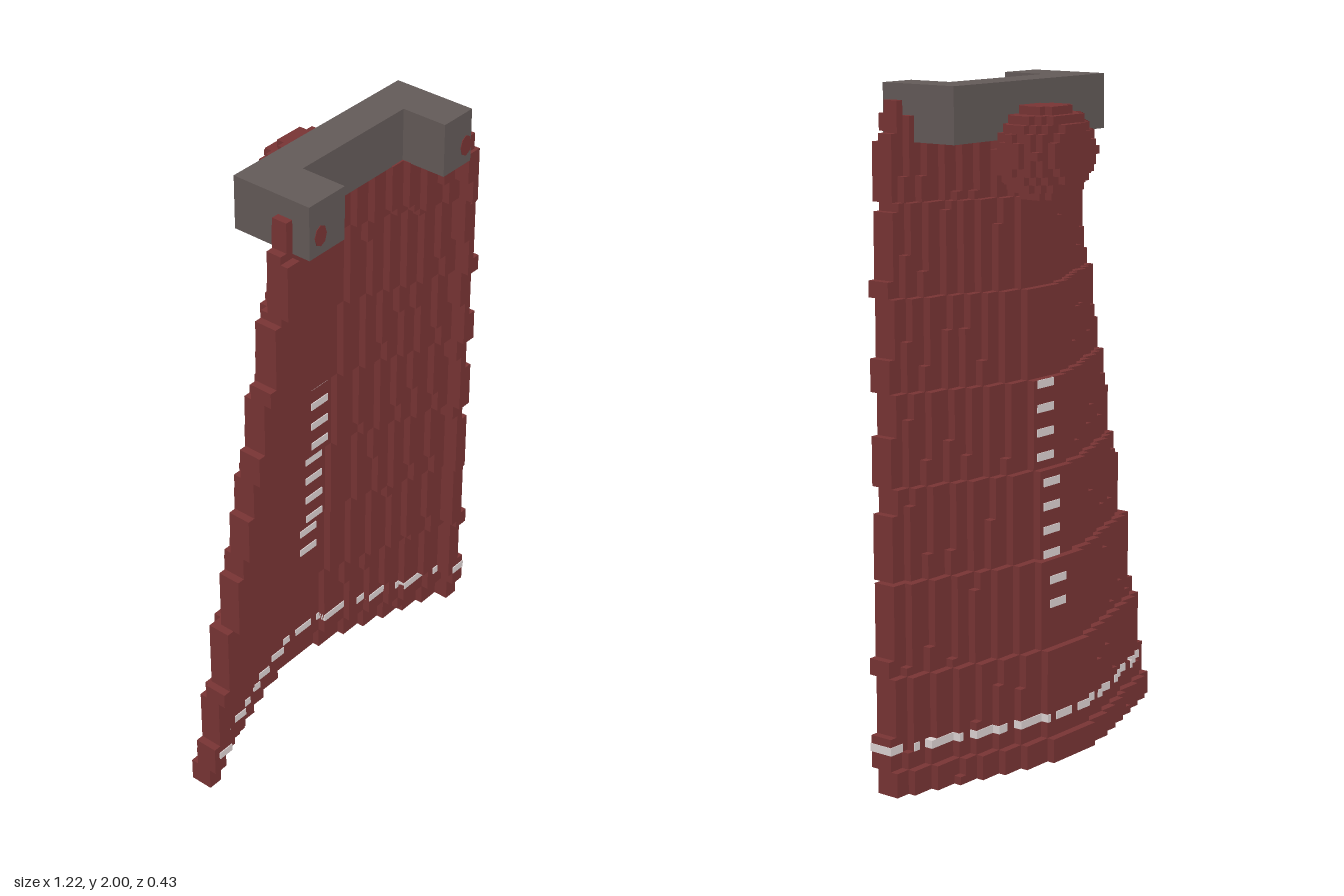
import * as THREE from 'three';
import { mergeGeometries } from 'three/addons/utils/BufferGeometryUtils.js';

const V = 0.0242; // size of one block
const clothMat = new THREE.MeshStandardMaterial({ color: 0x783434 });
clothMat.name = 'dark red cloth';
const collarMat = new THREE.MeshStandardMaterial({ color: 0x635a58 });
collarMat.name = 'grey collar';
const trimMat = new THREE.MeshStandardMaterial({ color: 0xdcd2d2 });
trimMat.name = 'pale trim';

// box from its two extreme corners
function span(x0, x1, y0, y1, z0, z1) {
  return new THREE.BoxGeometry(x1 - x0, y1 - y0, z1 - z0)
    .translate((x0 + x1) / 2, (y0 + y1) / 2, (z0 + z1) / 2);
}

function part(name, boxes, material) {
  const mesh = new THREE.Mesh(mergeGeometries(boxes), material);
  mesh.name = name;
  return mesh;
}

// Fractions of the half width at which the curved cloth steps forward
const STEPS = [0, 0.156, 0.31, 0.435, 0.55, 0.655, 0.79, 0.91, 1];
const THICK = 2 * V;
const BODY_ROWS = 76; // rows below the collar
const halfWidth = (row) => 0.612 - 0.115 * row * V;
const stepX = (row, j) => (j ? Math.round(STEPS[j] * halfWidth(row) / V) * V + 0.005 : 0);
// the cloth leans forward one block every eleven rows
const backZ = (row, j) => -0.215 + V * (Math.min(7, Math.floor((row + 8) / 11)) + j);
// the side hems are one block thicker up to the collar
const thickness = (row, j) => (j === 7 && row < BODY_ROWS ? THICK + V : THICK);

// Cloth: stepped columns, each split where its outline changes
function clothBoxes() {
  const boxes = [];
  for (let j = 0; j < 8; j++) {
    const top = j < 6 ? BODY_ROWS : j === 6 ? 79 : 81;
    let start = 0;
    for (let row = 1; row <= top; row++) {
      const same = row < top && stepX(row, j) === stepX(start, j) &&
        stepX(row, j + 1) === stepX(start, j + 1) && backZ(row, j) === backZ(start, j) &&
        thickness(row, j) === thickness(start, j);
      if (same) continue;
      const a = stepX(start, j), b = stepX(start, j + 1), z = backZ(start, j);
      const y0 = start * V, y1 = Math.min(row * V, 1.955), front = z + thickness(start, j);
      if (j === 0) boxes.push(span(-b, b, y0, y1, z, front));
      else if (b > a) {
        boxes.push(span(a, b, y0, y1, z, front));
        boxes.push(span(-b, -a, y0, y1, z, front));
      }
      start = row;
    }
  }
  return boxes;
}

// One dash through the cloth, following its steps
function dashBoxes(x0, x1, row) {
  const boxes = [], e = 0.003;
  for (let j = 0; j < 8; j++) {
    const a = stepX(row, j), b = stepX(row, j + 1), z = backZ(row, j);
    const front = z + thickness(row, j) + e;
    for (const [l, r] of j ? [[a, b], [-b, -a]] : [[-b, b]]) {
      const p = Math.max(x0, l), q = Math.min(x1, r);
      if (q - p > 0.002) boxes.push(span(p, q + e / 2, row * V, (row + 1) * V, z - e, front));
    }
  }
  return boxes;
}

// Ellipsoid made of block rows
function blockBall(cx, cy, cz, rx, ry, rz, size) {
  const boxes = [];
  const ny = Math.round(ry / size), nz = Math.round(rz / size);
  for (let i = -ny; i <= ny; i++) {
    for (let k = -nz; k <= nz; k++) {
      const s = 1 - (i * size / ry) ** 2 - (k * size / rz) ** 2;
      const w = s > 0 ? Math.round(rx * Math.sqrt(s) / size) * size : 0;
      if (w <= 0) continue;
      const y = cy + i * size, z = cz + k * size, h = size / 2;
      boxes.push(span(cx - w, cx + w, y - h, y + h, z - h, z + h));
    }
  }
  return boxes;
}

export function createModel() {
  const model = new THREE.Group();
  model.name = 'cape';

  model.add(part('cloth', clothBoxes(), clothMat));

  // dashed line along the hem
  const hem = [[-0.59, -0.48], [-0.45, -0.33], [-0.3, -0.18], [-0.157, -0.046], [-0.014, 0.06],
    [0.09, 0.2], [0.235, 0.345], [0.377, 0.488], [0.515, 0.535], [0.56, 0.61]];
  model.add(part('hemStitching', hem.flatMap(([a, b]) => dashBoxes(a, b, 5)), trimMat));

  // ladder of short bars up the middle
  const bars = [];
  for (let row = 19; row <= 46; row += 3) bars.push(...dashBoxes(-0.014, 0.06, row));
  model.add(part('centreBars', bars, trimMat));

  // rolled hood at the back of the neck
  model.add(part('hood', blockBall(0.01, 1.798, -0.106, 0.168, 0.14, 0.121, V), clothMat));

  // U-shaped collar open to the front
  const u = new THREE.Shape([[-0.35, 0.047], [-0.35, -0.215], [-0.205, -0.215], [-0.205, -0.07],
    [0.225, -0.07], [0.225, -0.215], [0.347, -0.215], [0.347, 0.047]]
    .map(([x, y]) => new THREE.Vector2(x, y)));
  const collar = new THREE.ExtrudeGeometry(u, { depth: 0.163, bevelEnabled: false })
    .rotateX(-Math.PI / 2).translate(0, 1.837, 0);
  model.add(part('collar', [collar], collarMat));

  // clasps on the collar ends
  for (const [name, x] of [['rightClasp', -0.305], ['leftClasp', 0.323]]) {
    const disc = new THREE.CylinderGeometry(0.032, 0.032, 0.034, 8)
      .rotateX(Math.PI / 2).scale(0.75, 1, 1).translate(x, 1.895, 0.2);
    model.add(part(name, [disc], clothMat));
  }
  model.add(part('leftClaspSide', [span(0.33, 0.368, 1.865, 1.915, 0.185, 0.213)], clothMat));

  return model;
}
